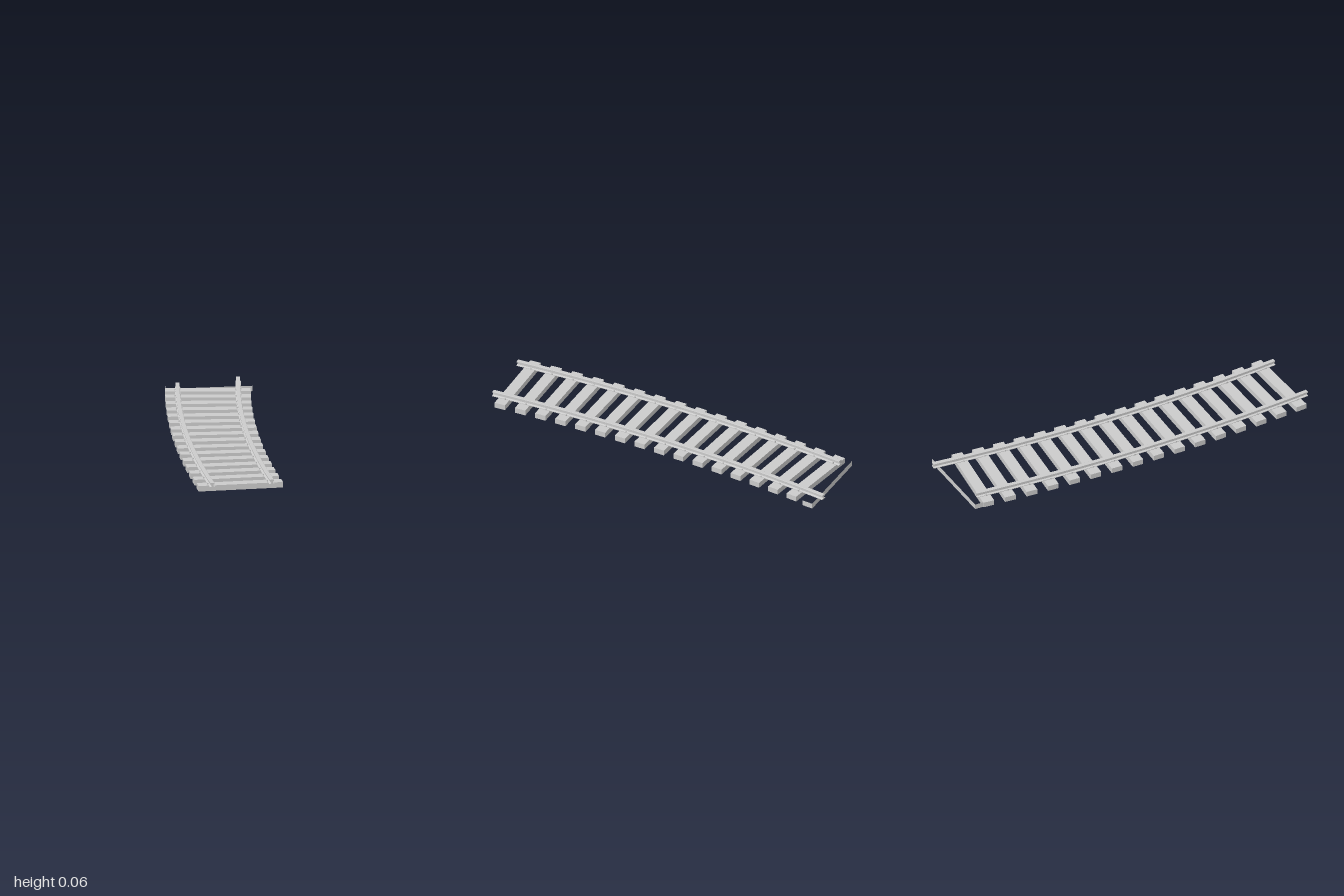
import * as THREE from 'three';

const material = new THREE.MeshStandardMaterial({ color: 0xcccccc, flatShading: true });
const openMaterial = material;
const rad = THREE.MathUtils.degToRad;

// The track follows an arc round this centre
const CX = 10.158, CZ = 2.44, R = 10.5;
const GAUGE = 0.16, TIE_H = 0.03, TIE_W = 0.061, TIE_L = 0.453;
const FIRST = 8.4, STEP = 0.66;

// Point on the arc; offset is positive towards the arc centre
function arcPoint(t, offset = 0) {
  const r = R - offset;
  return [CX - r * Math.cos(t), CZ - r * Math.sin(t)];
}

// Places a box across the track at an angle, lateral offset and height
function boxOnTrack(name, w, h, d, t, offset, y) {
  const mesh = new THREE.Mesh(new THREE.BoxGeometry(w, h, d), material);
  const [x, z] = arcPoint(t, offset);
  mesh.position.set(x, y + h / 2, z);
  mesh.rotation.y = -t;
  mesh.name = name;
  return mesh;
}

// I-section rail bent along the arc
function makeRail(name, offset, t0, t1) {
  const half = [[0.014, 0.03], [0.014, 0.033], [0.004, 0.036], [0.004, 0.046], [0.011, 0.049], [0.011, 0.0555], [0.009, 0.057]];
  const outline = [...half, ...half.map(([x, y]) => [-x, y]).reverse()];
  const shape = new THREE.Shape(outline.map(([x, y]) => new THREE.Vector2(x, y)));
  const geo = new THREE.ExtrudeGeometry(shape, { depth: 1, steps: 18, bevelEnabled: false });
  const p = geo.attributes.position;
  for (let i = 0; i < p.count; i++) {
    const [x, z] = arcPoint(t1 + (t0 - t1) * p.getZ(i), offset + p.getX(i));
    p.setXYZ(i, x, p.getY(i), z);
  }
  geo.computeVertexNormals();
  const mesh = new THREE.Mesh(geo, material);
  mesh.name = name;
  return mesh;
}

// Last sleeper: only its four upright sides, open above and below
function makeOpenSleeper() {
  const corners = [[0.437, -0.855], [0.455, -0.915], [0.0, -1.0], [-0.015, -0.945]];
  const pos = [];
  corners.forEach(([ax, az], i) => {
    const [bx, bz] = corners[(i + 1) % 4];
    pos.push(ax, 0, az, bx, 0, bz, bx, TIE_H, bz);
    pos.push(ax, 0, az, bx, TIE_H, bz, ax, TIE_H, az);
  });
  const geo = new THREE.BufferGeometry();
  geo.setAttribute('position', new THREE.Float32BufferAttribute(pos, 3));
  geo.computeVertexNormals();
  const mesh = new THREE.Mesh(geo, openMaterial);
  mesh.name = 'openEndSleeper';
  return mesh;
}

export function createModel() {
  const model = new THREE.Group();
  model.name = 'curvedTrack';

  // Sleepers with spikes holding both sides of each rail
  const sleepers = new THREE.Group();
  sleepers.name = 'sleepers';
  const spikes = new THREE.Group();
  spikes.name = 'spikes';
  for (let i = 0; i < 16; i++) {
    const t = rad(FIRST + i * STEP);
    sleepers.add(boxOnTrack('sleeper', TIE_L, TIE_H, TIE_W, t, 0, 0));
    for (const rail of [-GAUGE, GAUGE]) {
      for (const side of [-1, 1]) {
        const along = t + side * 0.0008;
        spikes.add(boxOnTrack('spike', 0.006, 0.009, 0.007, along, rail + side * 0.0135, TIE_H));
      }
    }
  }
  sleepers.add(makeOpenSleeper());
  model.add(sleepers, spikes);

  // Rails
  model.add(makeRail('rightRail', -GAUGE, rad(8.0), rad(18.55)));
  model.add(makeRail('leftRail', GAUGE, rad(8.02), rad(19.2)));
  return model;
}
